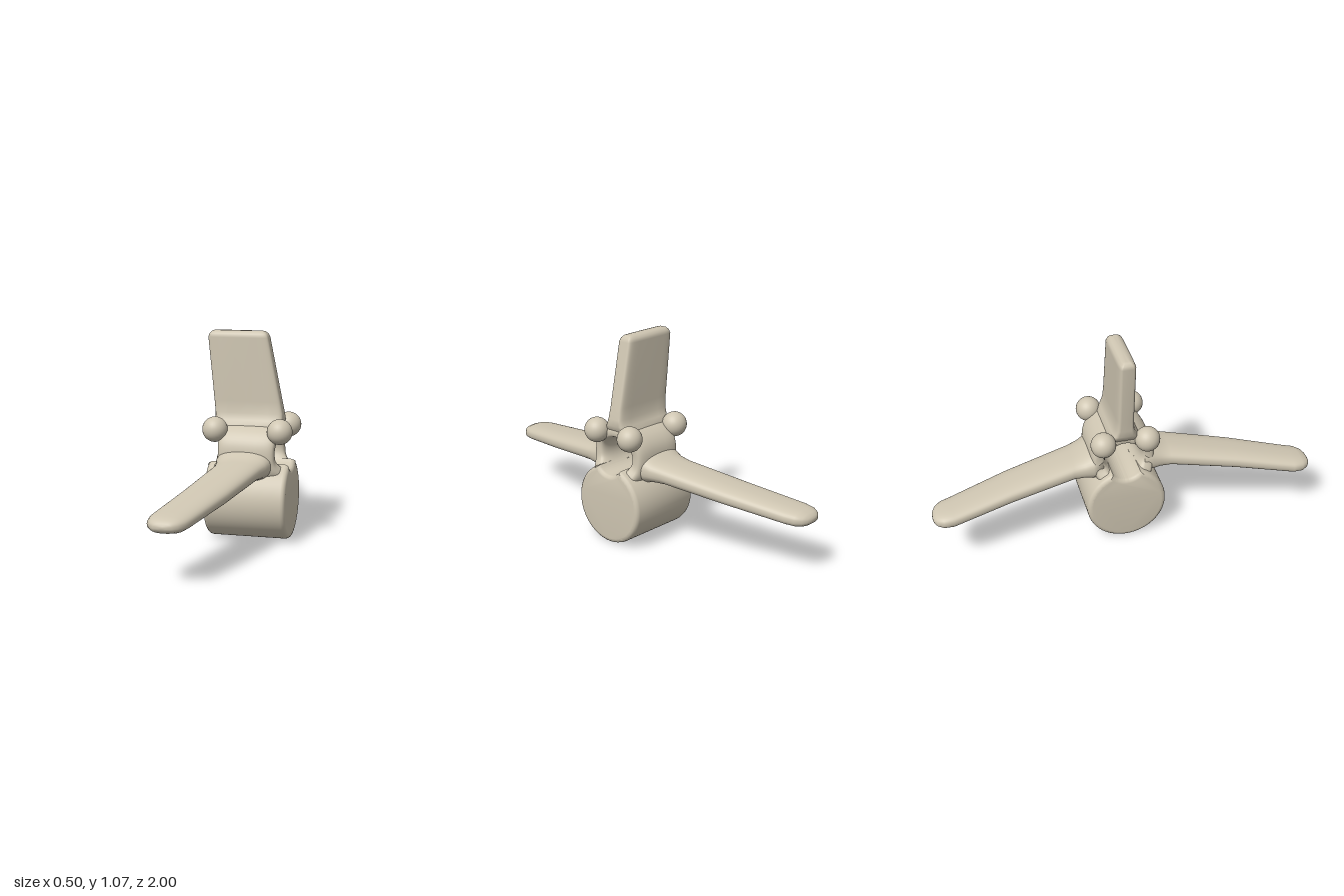
import * as THREE from 'three';
import { toCreasedNormals } from 'three/addons/utils/BufferGeometryUtils.js';

const BORE_Y = 0.46, BORE_R = 0.09; // hole running along x

// Rounded outline: low power = boxy, 1 = ellipse
function outline(a, b, power, count = 40) {
  const soft = (v) => Math.sign(v) * Math.abs(v) ** power;
  return Array.from({ length: count }, (_, i) => {
    const t = (i / count) * Math.PI * 2;
    return [a * soft(Math.cos(t)), b * soft(Math.sin(t))];
  });
}

// Skin through equal-sized rings of points, capped at both ends, facing outward
function loft(rings) {
  const n = rings[0].length, pos = rings.flat(2), index = [];
  for (let r = 0; r < rings.length - 1; r++) {
    for (let i = 0; i < n; i++) {
      const a = r * n + i, b = r * n + ((i + 1) % n);
      index.push(a, b, a + n, b, b + n, a + n);
    }
  }
  [0, rings.length - 1].forEach((r, end) => {
    const c = pos.length / 3;
    for (let k = 0; k < 3; k++) pos.push(rings[r].reduce((s, p) => s + p[k], 0) / n);
    for (let i = 0; i < n; i++) {
      const a = r * n + i, b = r * n + ((i + 1) % n);
      index.push(...(end ? [c, a, b] : [c, b, a]));
    }
  });
  // Turn the faces round if the enclosed volume is negative
  const v = (i) => new THREE.Vector3().fromArray(pos, i * 3);
  let volume = 0;
  for (let i = 0; i < index.length; i += 3) {
    volume += v(index[i]).dot(v(index[i + 1]).cross(v(index[i + 2])));
  }
  if (volume < 0) index.reverse();
  const geo = new THREE.BufferGeometry();
  geo.setAttribute('position', new THREE.Float32BufferAttribute(pos, 3));
  geo.setIndex(index);
  geo.computeVertexNormals();
  return geo;
}

// Lower drum with a groove following the bore
function drumGeometry() {
  const r = 0.208, cy = 0.211, d = BORE_Y - cy;
  const a = (r * r - BORE_R * BORE_R + d * d) / (2 * d);
  const h = Math.sqrt(r * r - a * a);
  const shape = new THREE.Shape();
  const start = Math.atan2(a, -h), end = Math.atan2(a, h);
  shape.absarc(0, cy, r, start, end + Math.PI * 2, false);
  const g = Math.atan2(cy + a - BORE_Y, h);
  shape.absarc(0, BORE_Y, BORE_R, g, -Math.PI - g, true);
  const bevel = 0.022;
  const geo = new THREE.ExtrudeGeometry(shape, {
    depth: 0.425 - 2 * bevel, curveSegments: 48,
    bevelThickness: bevel, bevelSize: bevel, bevelOffset: -bevel, bevelSegments: 3,
  });
  geo.translate(0, 0, -0.2 + bevel).rotateY(Math.PI / 2);
  return toCreasedNormals(geo, 0.6);
}

// Arch round the bore, flaring at its feet into the drum
function hubGeometry() {
  // angle from the top, half width, outer radius
  const keys = [[0, 0.16, 0.155], [45, 0.16, 0.165], [68, 0.148, 0.17], [90, 0.146, 0.17],
    [108, 0.152, 0.175], [122, 0.172, 0.182], [138, 0.2, 0.185]];
  const curve = new THREE.CatmullRomCurve3(keys.map((k) => new THREE.Vector3(k[0] / 100, k[1], k[2])));
  const rings = [];
  for (let i = -24; i <= 24; i++) {
    const p = curve.getPoint(Math.abs(i) / 24);
    const t = Math.sign(i) * p.x * 100 * Math.PI / 180;
    const mid = (BORE_R + p.z) / 2, half = (p.z - BORE_R) / 2;
    rings.push(outline(p.y, half, 0.55).map(([x, s]) =>
      [0.012 + x, BORE_Y + (mid + s) * Math.cos(t), (mid + s) * Math.sin(t)]));
  }
  return loft(rings);
}

// Upright blade: y, centre x, half width, half thickness
function finGeometry() {
  const keys = [[0.56, 0.01, 0.14, 0.085], [0.6, 0.006, 0.165, 0.08], [0.625, 0.005, 0.178, 0.062],
    [0.66, 0.002, 0.177, 0.049], [0.72, -0.007, 0.174, 0.045], [1.045, -0.055, 0.157, 0.045],
    [1.063, -0.056, 0.15, 0.038], [1.074, -0.057, 0.138, 0.026], [1.078, -0.057, 0.125, 0.012]];
  return loft(keys.map(([y, x, hx, hz]) =>
    outline(hx, hz, 0.3).map(([u, w]) => [x + u, y, w])));
}

// Side blade: z, centre x, centre y, half width, half thickness
function wingGeometry(side) {
  const keys = [[0.11, 0.005, 0.42, 0.145, 0.085], [0.16, 0.003, 0.408, 0.142, 0.078],
    [0.2, 0, 0.4, 0.13, 0.062], [0.26, -0.008, 0.394, 0.12, 0.053], [0.6, -0.075, 0.35, 0.111, 0.047],
    [0.9, -0.15, 0.307, 0.1, 0.042], [0.95, -0.155, 0.303, 0.09, 0.039],
    [0.98, -0.158, 0.301, 0.068, 0.03], [0.994, -0.16, 0.3, 0.045, 0.019], [1, -0.16, 0.3, 0.022, 0.009]];
  return loft(keys.map(([z, x, y, hx, hy]) =>
    outline(hx, hy, 0.8).map(([u, w]) => [x + u, y + w, side * z])));
}

export function createModel() {
  const model = new THREE.Group();
  model.name = 'bladedHub';
  const clay = new THREE.MeshStandardMaterial({ color: 0xcfc6b2 });
  clay.name = 'warm beige';
  const add = (name, geo) => {
    const mesh = new THREE.Mesh(geo, clay);
    mesh.name = name;
    model.add(mesh);
    return mesh;
  };

  add('drum', drumGeometry());
  add('hub', hubGeometry());
  add('uprightBlade', finGeometry());
  for (const side of [1, -1]) {
    const end = side > 0 ? 'front' : 'back';
    add(end + 'Blade', wingGeometry(side));
    // Round knobs at the shoulders of the hub
    for (const [label, x] of [['Right', -0.155], ['Left', 0.182]]) {
      add(end + label + 'Knob', new THREE.SphereGeometry(0.065, 28, 18))
        .position.set(x, 0.582, side * 0.115);
    }
  }
  return model;
}
